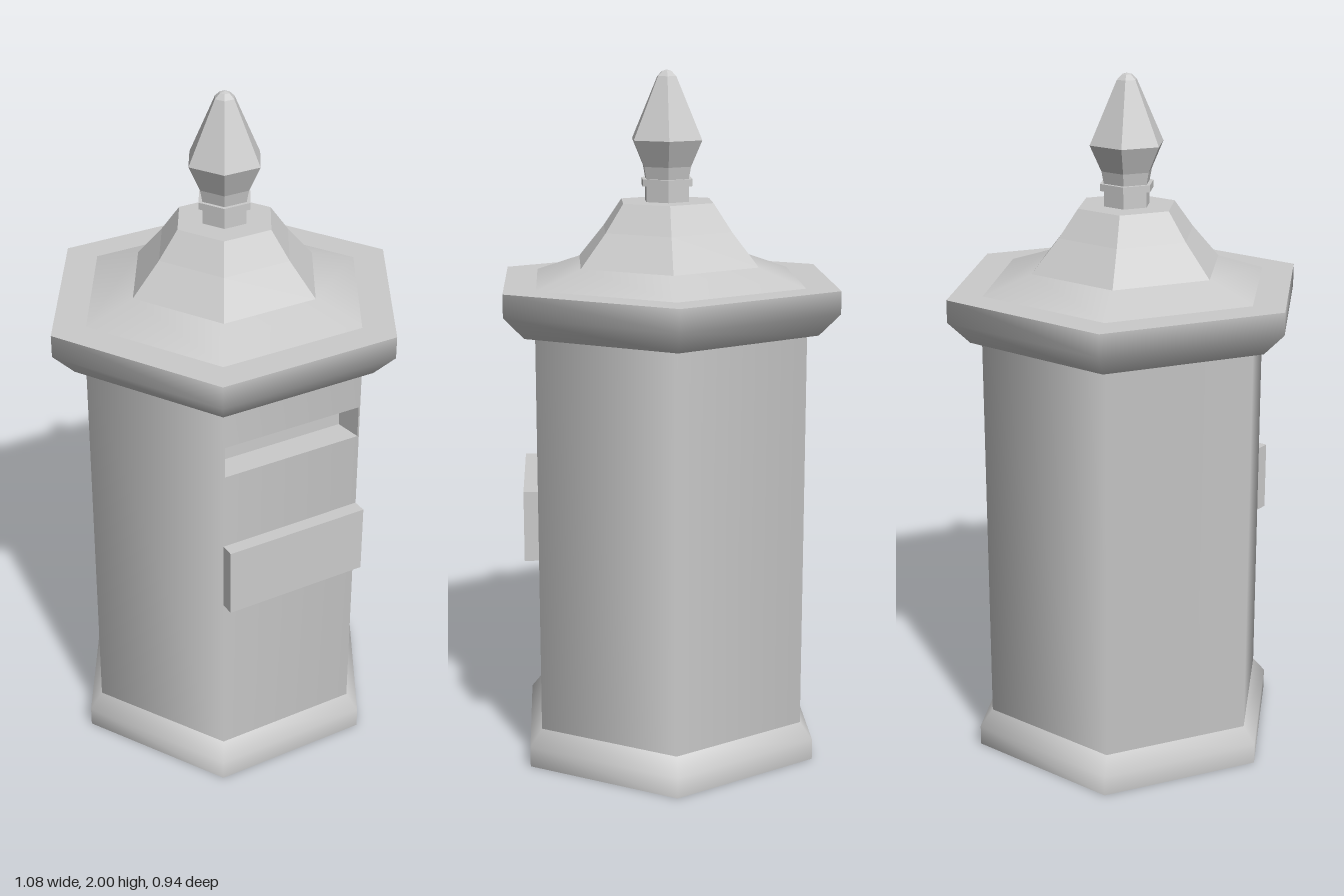
import * as THREE from 'three';

const smooth = new THREE.MeshStandardMaterial({ color: 0xcccccc });
const flat = new THREE.MeshStandardMaterial({ color: 0xcccccc, flatShading: true });

function addMesh(parent, name, geometry, material) {
  const mesh = new THREE.Mesh(geometry, material);
  mesh.name = name;
  parent.add(mesh);
  return mesh;
}

// Hexagonal lathe with corners on the x axis; skip leaves out the front side
function hexLathe(profile, skipFront = false) {
  const sides = skipFront ? 5 : 6;
  const points = profile.map(([r, y]) => new THREE.Vector2(r, y));
  return new THREE.LatheGeometry(points, sides, Math.PI / 6, sides * Math.PI / 3);
}

export function createModel() {
  const model = new THREE.Group();
  model.name = 'postBox';

  // Plinth
  addMesh(model, 'plinthUnderside', hexLathe([[0, 0], [0.48, 0]]), flat);
  addMesh(model, 'plinth', hexLathe([[0.48, 0], [0.48, 0.06], [0.435, 0.115]]), smooth);

  // Body: five plain sides and a front panel with the slot opening
  const R = 0.44, face = R * Math.cos(Math.PI / 6);
  const bottom = 0.05, top = 1.3;
  addMesh(model, 'body', hexLathe([[R, bottom], [R, top]], true), smooth);

  const slot = { w: 0.22, y0: 1.06, y1: 1.155, depth: 0.08 };
  const rect = (target, w, y0, y1) => target
    .moveTo(-w, y0).lineTo(w, y0).lineTo(w, y1).lineTo(-w, y1).closePath();
  const panel = rect(new THREE.Shape(), R / 2, bottom, top);
  // Keep the opening just inside the panel edges
  slot.w = 0.215;
  panel.holes.push(rect(new THREE.Path(), slot.w, slot.y0, slot.y1));
  const front = new THREE.ShapeGeometry(panel).translate(0, 0, face);
  const pos = front.attributes.position;
  const normal = new THREE.Vector3();
  for (let i = 0; i < pos.count; i++) {
    normal.set(pos.getX(i), 0, face).normalize();
    front.attributes.normal.setXYZ(i, normal.x, normal.y, normal.z);
  }
  addMesh(model, 'frontPanel', front, smooth);

  // Slot recess: an inside-out box, open at the front and narrower at the back
  const recess = new THREE.BoxGeometry(slot.w * 2, slot.y1 - slot.y0, slot.depth);
  recess.scale(1, 1, -1);
  recess.setIndex(Array.from(recess.index.array).slice(0, 30));
  recess.clearGroups();
  const rp = recess.attributes.position;
  for (let i = 0; i < rp.count; i++) {
    if (rp.getZ(i) < 0) rp.setX(i, rp.getX(i) * 0.95);
  }
  addMesh(model, 'letterSlot', recess, flat)
    .position.set(0, (slot.y0 + slot.y1) / 2, face - slot.depth / 2);

  // Notice plate
  addMesh(model, 'noticePlate', new THREE.BoxGeometry(0.44, 0.205, 0.06), flat)
    .position.set(0, 0.728, 0.392);

  // Cornice
  addMesh(model, 'corniceUnderside', hexLathe([[0.4, 1.275], [0.475, 1.275]]), flat);
  addMesh(model, 'cornice', hexLathe([[0.475, 1.275], [0.54, 1.34], [0.54, 1.405]]), smooth);
  addMesh(model, 'corniceTop', hexLathe([[0.54, 1.405], [0.435, 1.405]]), flat);

  // Roof
  addMesh(model, 'roofSkirt', hexLathe([[0.435, 1.405], [0.29, 1.455]]), smooth);
  addMesh(model, 'roof',
    hexLathe([[0.29, 1.455], [0.207, 1.55], [0.148, 1.63], [0.06, 1.63]]), flat);

  // Finial
  addMesh(model, 'finial', hexLathe([
    [0.07, 1.63], [0.07, 1.675], [0.082, 1.675], [0.082, 1.695], [0.07, 1.695],
    [0.077, 1.73], [0.112, 1.805], [0.03, 1.982], [0.015, 1.996], [0, 2],
  ]), flat);

  return model;
}
